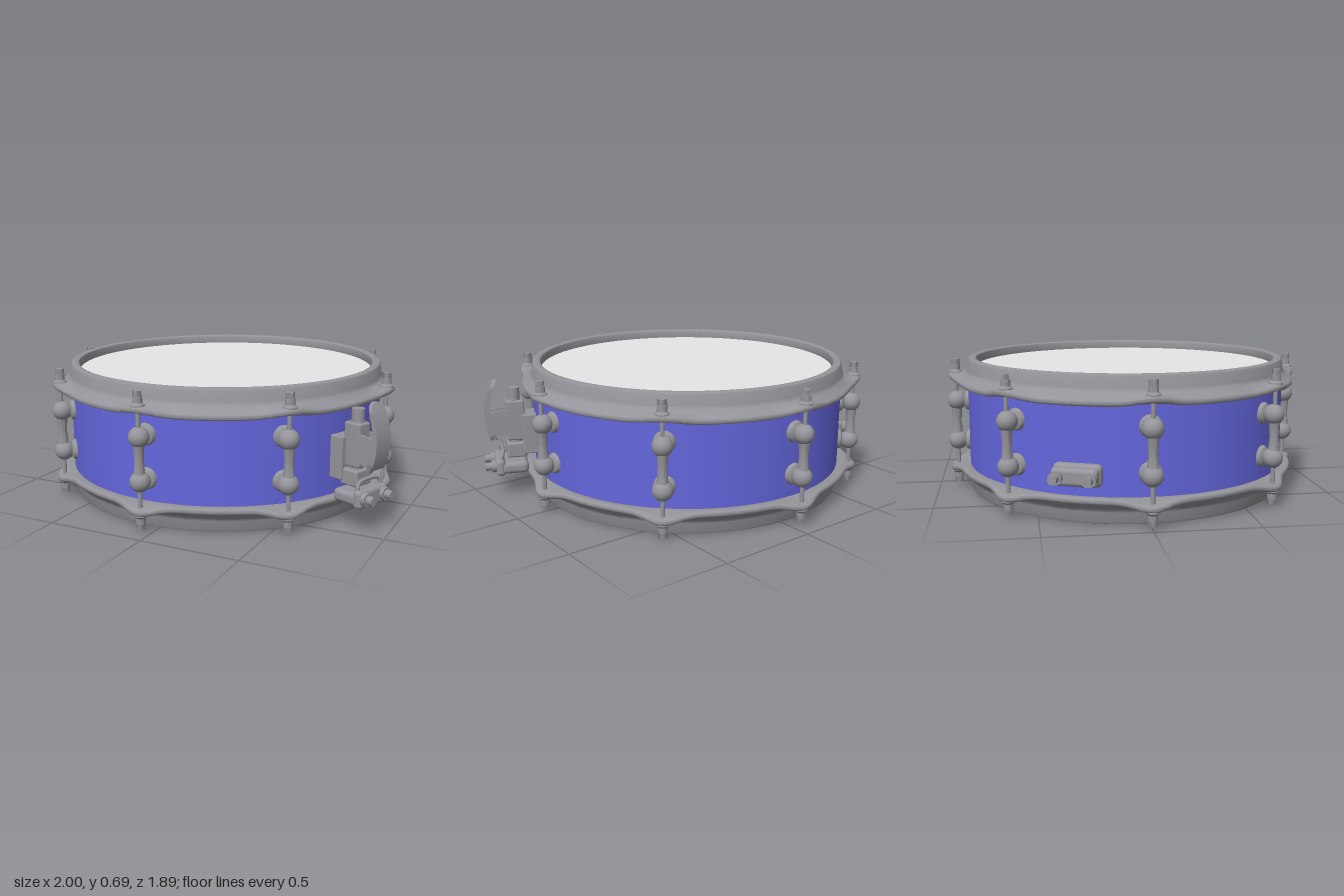
import * as THREE from 'three';
import { toCreasedNormals } from 'three/addons/utils/BufferGeometryUtils.js';
import { RoundedBoxGeometry } from 'three/addons/geometries/RoundedBoxGeometry.js';

const metal = new THREE.MeshStandardMaterial({ color: 0x95949a });
metal.name = 'grey metal';
const blue = new THREE.MeshStandardMaterial({ color: 0x6466dc });
blue.name = 'blue shell';
const skin = new THREE.MeshStandardMaterial({ color: 0xe6e6e6 });
skin.name = 'pale drumhead';

const LUGS = 8;
const HEIGHT = 0.69;
const ROD_R = 0.9;

function add(parent, name, geometry, material = metal, x = 0, y = 0, z = 0) {
  const mesh = new THREE.Mesh(geometry, material);
  mesh.name = name;
  mesh.position.set(x, y, z);
  parent.add(mesh);
  return mesh;
}

// group whose local +x points outward at the given angle round the drum
function radialGroup(parent, name, angle) {
  const g = new THREE.Group();
  g.name = name;
  g.rotation.y = -angle;
  parent.add(g);
  return g;
}

// block given by its limits: radial, vertical and sideways half width
function block(parent, name, x0, x1, y0, y1, w, round = 0.01) {
  const geo = new RoundedBoxGeometry(x1 - x0, y1 - y0, 2 * w, 3, round);
  return add(parent, name, geo, metal, (x0 + x1) / 2, (y0 + y1) / 2, 0);
}

// cylinder lying along the radial direction
function radialPin(parent, name, x0, x1, r, y, z, sides = 20) {
  const geo = new THREE.CylinderGeometry(r, r, x1 - x0, sides).rotateZ(-Math.PI / 2);
  return add(parent, name, geo, metal, (x0 + x1) / 2, y, z);
}

function lathe(points, sides = 24) {
  const geo = new THREE.LatheGeometry(points.map(p => new THREE.Vector2(p[0], p[1])), sides);
  return toCreasedNormals(geo, 0.6);
}

// flanged hoop: the rim droops between the rods and lifts into an ear at each one
function hoopGeometry() {
  const segs = 240, pos = [], index = [];
  let n = 0;
  for (let i = 0; i < segs; i++) {
    const a = (i / segs) * Math.PI * 2;
    const e = Math.pow(0.5 + 0.5 * Math.cos(LUGS * a), 5);
    const R = 0.89 + 0.047 * e;
    const rim = 0.582 + 0.024 * e;
    const section = [
      [0.787, 0.676], [0.791, 0.686], [0.8, 0.69], [0.818, 0.69], [0.828, 0.686], [0.833, 0.676],
      [0.84, 0.63], [0.844, 0.618], [0.853, 0.61], [R - 0.012, rim + 0.003],
      [R - 0.003, rim - 0.002], [R, rim - 0.008], [R, rim - 0.02], [R - 0.004, rim - 0.026],
      [R - 0.014, rim - 0.03], [0.845, 0.558], [0.82, 0.56], [0.787, 0.6],
    ];
    n = section.length;
    for (const [r, y] of section) pos.push(r * Math.cos(a), y, r * Math.sin(a));
  }
  for (let i = 0; i < segs; i++) {
    for (let j = 0; j < n; j++) {
      const i2 = (i + 1) % segs, j2 = (j + 1) % n;
      const a = i * n + j, b = i2 * n + j, c = i * n + j2, d = i2 * n + j2;
      index.push(a, b, c, b, d, c);
    }
  }
  const geo = new THREE.BufferGeometry();
  geo.setAttribute('position', new THREE.Float32BufferAttribute(pos, 3));
  geo.setIndex(index);
  return toCreasedNormals(geo, 0.7);
}

// hoop, head and rod ends for one face of the drum
function makeFace(name, hoopGeo) {
  const face = new THREE.Group();
  face.name = name;
  add(face, 'hoop', hoopGeo);
  add(face, 'drumhead', new THREE.CylinderGeometry(0.8, 0.8, 0.01, 96), skin, 0, 0.638);
  const collar = lathe([[0.034, 0.59], [0.034, 0.612], [0.024, 0.622], [0.023, 0.65], [0, 0.65]]);
  const nut = new THREE.CylinderGeometry(0.022, 0.024, 0.03, 4);
  for (let i = 0; i < LUGS; i++) {
    const g = radialGroup(face, 'rodEnd', (i / LUGS) * Math.PI * 2);
    add(g, 'collar', collar, metal, ROD_R);
    add(g, 'nut', nut, metal, ROD_R, 0.662);
  }
  return face;
}

function makeLug(parent, angle) {
  const g = radialGroup(parent, 'lug', angle);
  add(g, 'tensionRod', new THREE.CylinderGeometry(0.011, 0.011, 0.56, 12), metal, ROD_R, HEIGHT / 2);
  const tube = lathe([[0.034, -0.1], [0.026, -0.055], [0.022, 0], [0.026, 0.055], [0.034, 0.1]]);
  add(g, 'lugTube', tube, metal, ROD_R, 0.35);
  const post = lathe([[0.054, -0.02], [0.054, 0.006], [0.047, 0.018], [0.03, 0.026], [0.025, 0.06]]);
  for (const y of [0.244, 0.458]) {
    add(g, 'lugBall', new THREE.SphereGeometry(0.05, 24, 16), metal, ROD_R - 0.004, y);
    add(g, 'lugPost', post, metal, 0.834, y).rotation.z = -Math.PI / 2;
  }
}

// curved tongue, rounded at the tip: a box bent outward by height
function leverGeometry() {
  const geo = new THREE.BoxGeometry(1, 1, 1, 1, 28, 6);
  const p = geo.attributes.position;
  for (let i = 0; i < p.count; i++) {
    const u = p.getY(i) + 0.5;
    const y = 0.3 + 0.316 * u;
    const tip = Math.max(0, (u - 0.85) / 0.15), foot = Math.max(0, (0.1 - u) / 0.1);
    const width = 0.1 * Math.sqrt(1 - 0.92 * tip * tip) * (1 - 0.25 * foot * foot);
    const thick = 0.036 - 0.018 * u;
    const outer = 1.095 - 1.5 * (y - 0.43) ** 2;
    p.setXYZ(i, outer + (p.getX(i) - 0.5) * thick, y, p.getZ(i) * width);
  }
  return toCreasedNormals(geo, 0.6);
}

// strainer with its lever, clamp and screws
function makeStrainer(parent) {
  const g = radialGroup(parent, 'strainer', Math.PI / 8);
  block(g, 'basePlate', 0.82, 0.905, 0.22, 0.432, 0.066, 0.006);
  block(g, 'housing', 0.89, 0.985, 0.29, 0.505, 0.04);
  add(g, 'slider', new THREE.CylinderGeometry(0.034, 0.034, 0.3, 24), metal, 0.94, 0.36);
  add(g, 'adjusterKnob', new THREE.CylinderGeometry(0.031, 0.031, 0.07, 24), metal, 0.94, 0.535);

  const cheek = new THREE.Shape();
  cheek.moveTo(0.9, 0.36);
  cheek.lineTo(1.055, 0.3);
  cheek.lineTo(1.075, 0.36);
  cheek.lineTo(1.068, 0.45);
  cheek.lineTo(0.96, 0.46);
  cheek.closePath();
  const cheekGeo = new THREE.ExtrudeGeometry(cheek, { depth: 0.012, bevelEnabled: false });
  cheekGeo.translate(0, 0, -0.006);
  for (const s of [-1, 1]) add(g, 'cheek', cheekGeo, metal, 0, 0, s * 0.038);
  const pin = new THREE.CylinderGeometry(0.01, 0.01, 0.096, 12).rotateX(Math.PI / 2);
  add(g, 'pivotPin', pin, metal, 1.03, 0.4);
  add(g, 'lever', leverGeometry());

  block(g, 'neck', 0.89, 0.99, 0.2, 0.28, 0.055);
  block(g, 'clamp', 0.885, 1.03, 0.125, 0.19, 0.105, 0.025);
  block(g, 'clampCap', 1.005, 1.055, 0.115, 0.208, 0.105, 0.022);
  const bail = new THREE.CatmullRomCurve3([
    [1.03, 0.17, -0.085], [1.02, 0.225, -0.08], [1.015, 0.238, -0.065],
    [1.015, 0.238, 0.065], [1.02, 0.225, 0.08], [1.03, 0.17, 0.085],
  ].map(p => new THREE.Vector3(...p)), false, 'centripetal');
  add(g, 'bail', new THREE.TubeGeometry(bail, 32, 0.01, 8));
  for (const s of [-1, 1]) {
    radialPin(g, 'screwCollar', 1.045, 1.075, 0.032, 0.167, s * 0.068);
    radialPin(g, 'screwHead', 1.06, 1.108, 0.022, 0.167, s * 0.068, 12);
  }
}

// anchor plate opposite the strainer
function makeAnchor(parent) {
  const g = radialGroup(parent, 'anchor', Math.PI * 9 / 8);
  block(g, 'anchorBase', 0.81, 0.872, 0.18, 0.285, 0.115, 0.025);
  block(g, 'anchorClamp', 0.86, 0.915, 0.19, 0.275, 0.11, 0.022);
  for (const s of [-1, 1]) {
    radialPin(g, 'screwCollar', 0.905, 0.935, 0.032, 0.232, s * 0.08);
    radialPin(g, 'screwHead', 0.92, 0.972, 0.022, 0.232, s * 0.08, 12);
  }
}

export function createModel() {
  const model = new THREE.Group();
  model.name = 'snareDrum';
  const drum = new THREE.Group();
  drum.name = 'drum';
  drum.position.x = -0.057;
  model.add(drum);

  add(drum, 'shell', new THREE.CylinderGeometry(0.836, 0.836, 0.5, 96, 1), blue, 0, HEIGHT / 2);

  // the lower face is the upper one turned over
  const hoopGeo = hoopGeometry();
  drum.add(makeFace('topFace', hoopGeo));
  const bottom = makeFace('bottomFace', hoopGeo);
  bottom.rotation.x = Math.PI;
  bottom.position.y = HEIGHT;
  drum.add(bottom);

  for (let i = 0; i < LUGS; i++) makeLug(drum, (i / LUGS) * Math.PI * 2);
  makeStrainer(drum);
  makeAnchor(drum);
  return model;
}
